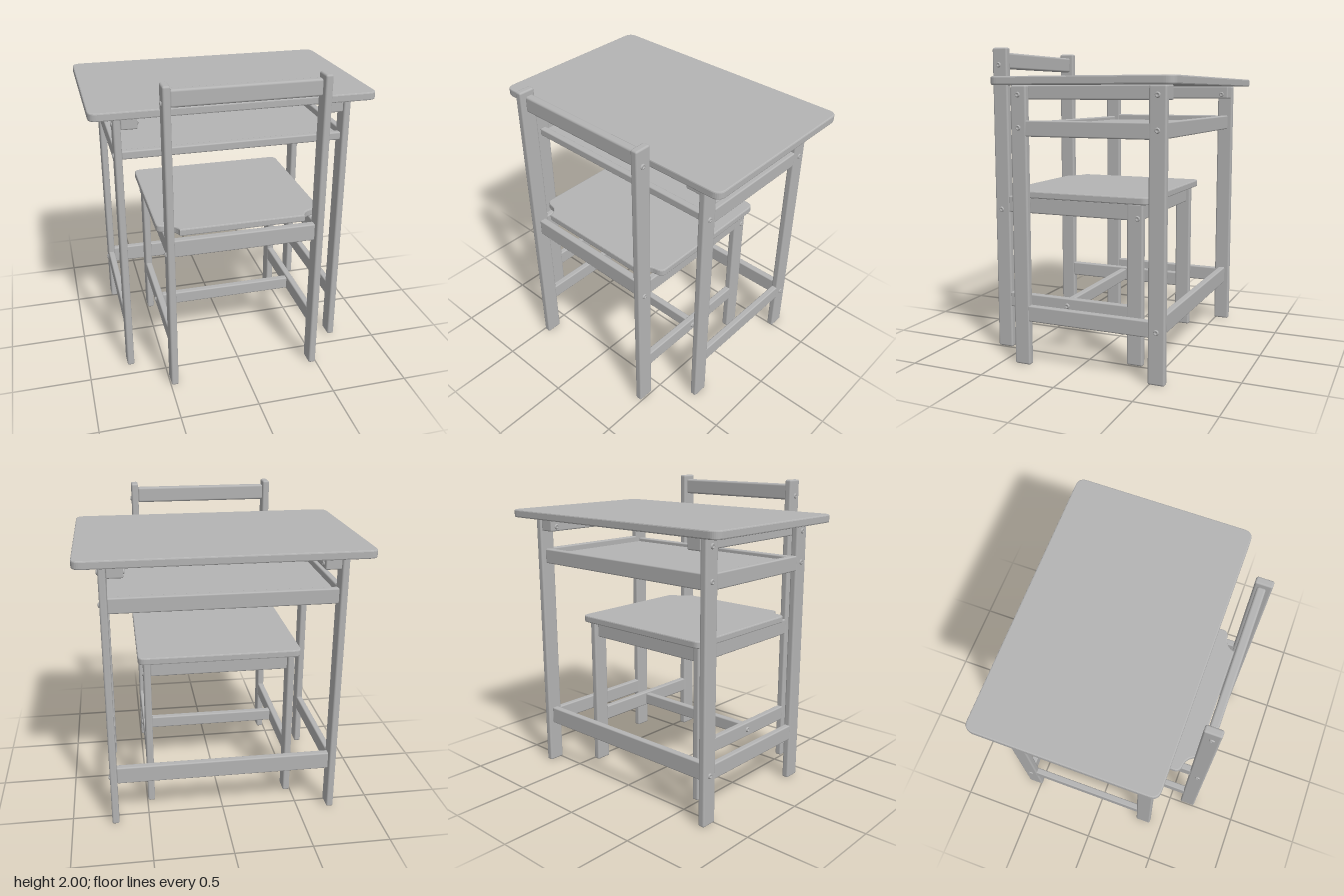
import * as THREE from 'three';
import { RoundedBoxGeometry } from 'three/addons/geometries/RoundedBoxGeometry.js';

const paint = new THREE.MeshStandardMaterial({ color: 0xb4b4b4 });
paint.name = 'plain grey';

// Softly rounded bar given by its limits on each axis
function bar(parent, name, [x0, x1], [y0, y1], [z0, z1], radius = 0.009) {
  const geo = new RoundedBoxGeometry(x1 - x0, y1 - y0, z1 - z0, 2, radius);
  const mesh = new THREE.Mesh(geo, paint);
  mesh.position.set((x0 + x1) / 2, (y0 + y1) / 2, (z0 + z1) / 2);
  mesh.name = name;
  parent.add(mesh);
}

// Domed screw head with a hex recess rim, facing along +x or -x
function screw(parent, x, y, z, dir) {
  const profile = [[0, 0.004], [0.007, 0.004], [0.009, 0.01], [0.014, 0.008], [0.018, 0]];
  const geo = new THREE.LatheGeometry(profile.map(([r, h]) => new THREE.Vector2(r, h)).reverse(), 16);
  const mesh = new THREE.Mesh(geo, paint);
  mesh.rotation.z = -dir * Math.PI / 2;
  mesh.position.set(x, y, z);
  mesh.name = 'screwHead';
  parent.add(mesh);
}

// Horizontal board from a plan outline drawn in (x, -z), with softened edges
function board(parent, name, shape, y0, y1) {
  const bevel = 0.008;
  const geo = new THREE.ExtrudeGeometry(shape, {
    depth: y1 - y0 - 2 * bevel, bevelEnabled: true, bevelThickness: bevel,
    bevelSize: bevel, bevelOffset: -bevel, bevelSegments: 2, curveSegments: 8,
  });
  geo.rotateX(-Math.PI / 2);
  const mesh = new THREE.Mesh(geo, paint);
  mesh.position.y = y0 + bevel;
  mesh.name = name;
  parent.add(mesh);
}

function createDesk() {
  const desk = new THREE.Group();
  desk.name = 'desk';

  // Table top with rounded corners
  const w = 0.888, back = 0.69, front = -0.475, r = 0.06;
  const top = new THREE.Shape();
  top.moveTo(-w + r, front);
  top.lineTo(w - r, front);
  top.quadraticCurveTo(w, front, w, front + r);
  top.lineTo(w, back - r);
  top.quadraticCurveTo(w, back, w - r, back);
  top.lineTo(-w + r, back);
  top.quadraticCurveTo(-w, back, -w, back - r);
  top.lineTo(-w, front + r);
  top.quadraticCurveTo(-w, front, -w + r, front);
  board(desk, 'tableTop', top, 1.757, 1.808);

  for (const s of [-1, 1]) {
    const xs = (a, b) => (s > 0 ? [a, b] : [-b, -a]);
    // Legs, side rails and the cleat that carries the top
    bar(desk, 'frontLeg', xs(0.698, 0.744), [0, 1.757], [0.303, 0.411], 0.012);
    bar(desk, 'backLeg', xs(0.698, 0.744), [0, 1.757], [-0.598, -0.49], 0.012);
    bar(desk, 'topCleat', xs(0.597, 0.698), [1.67, 1.757], [-0.59, 0.4]);
    bar(desk, 'shelfSideRail', xs(0.7, 0.742), [1.447, 1.545], [-0.5, 0.313]);
    bar(desk, 'lowerSideRail', xs(0.7, 0.742), [0.285, 0.387], [-0.5, 0.313]);
    for (const [y, z] of [[1.7, 0.358], [1.5, 0.358], [1.7, -0.544], [1.5, -0.544], [0.325, -0.544]])
      screw(desk, s * 0.743, y, z, s);
    for (const z of [0.358, -0.544]) screw(desk, s * 0.598, 1.7, z, -s);
  }

  // Cross rails and book shelf
  bar(desk, 'shelfFrontRail', [-0.7, 0.7], [1.478, 1.53], [0.335, 0.381]);
  bar(desk, 'shelfBackRail', [-0.7, 0.7], [1.447, 1.545], [-0.567, -0.521]);
  bar(desk, 'bookShelf', [-0.7, 0.7], [1.482, 1.505], [-0.53, 0.345], 0.004);
  bar(desk, 'lowerBackRail', [-0.7, 0.7], [0.285, 0.4], [-0.567, -0.521]);
  return desk;
}

function createChair() {
  const chair = new THREE.Group();
  chair.name = 'chair';

  // Seat with rounded front corners and curved notches around the back posts
  const w = 0.53, r = 0.05, front = 0.403;
  const seat = new THREE.Shape();
  seat.moveTo(-0.4, -0.6);
  seat.lineTo(0.4, -0.6);
  seat.bezierCurveTo(0.405, -0.56, 0.435, -0.53, 0.48, -0.525);
  seat.quadraticCurveTo(w, -0.52, w, -0.48);
  seat.lineTo(w, front - r);
  seat.quadraticCurveTo(w, front, w - r, front);
  seat.lineTo(-w + r, front);
  seat.quadraticCurveTo(-w, front, -w, front - r);
  seat.lineTo(-w, -0.48);
  seat.quadraticCurveTo(-w, -0.52, -0.48, -0.525);
  seat.bezierCurveTo(-0.435, -0.53, -0.405, -0.56, -0.4, -0.6);
  board(chair, 'seat', seat, 1.035, 1.082);

  for (const s of [-1, 1]) {
    const xs = (a, b) => (s > 0 ? [a, b] : [-b, -a]);
    // Posts, legs and side rails
    bar(chair, 'backPost', xs(0.449, 0.496), [0, 2], [0.582, 0.69], 0.012);
    bar(chair, 'frontLeg', xs(0.449, 0.496), [0, 1.037], [-0.362, -0.255], 0.012);
    bar(chair, 'seatSideRail', xs(0.451, 0.494), [0.93, 1.037], [-0.265, 0.592]);
    bar(chair, 'lowerSideRail', xs(0.451, 0.494), [0.285, 0.385], [-0.265, 0.592]);
    for (const [y, z] of [[1.89, 0.643], [0.945, 0.643], [0.945, -0.327], [0.335, 0.163]])
      screw(chair, s * 0.495, y, z, s);
  }

  // Cross rails and backrest
  bar(chair, 'seatBackRail', [-0.451, 0.451], [0.925, 1.037], [0.607, 0.655]);
  bar(chair, 'seatFrontRail', [-0.451, 0.451], [0.925, 1.037], [-0.335, -0.287]);
  bar(chair, 'centreStretcher', [-0.453, 0.453], [0.292, 0.375], [0.14, 0.186]);
  bar(chair, 'backrest', [-0.451, 0.451], [1.865, 1.97], [0.603, 0.657], 0.014);
  return chair;
}

export function createModel() {
  const model = new THREE.Group();
  model.name = 'schoolDeskAndChair';
  model.add(createDesk(), createChair());
  return model;
}
